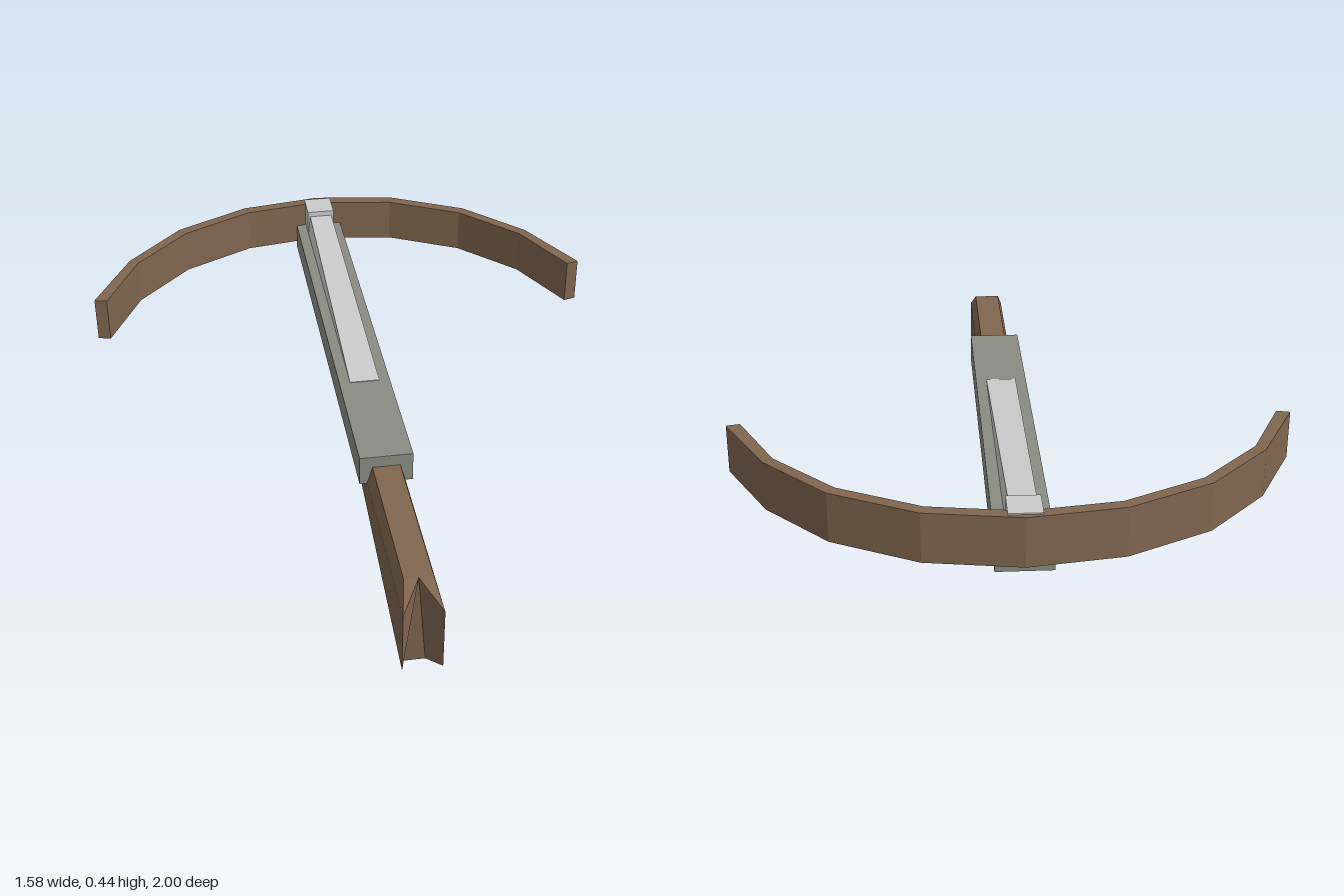
import * as THREE from 'three';

const material = (color) => new THREE.MeshStandardMaterial({ color, flatShading: true });

// Joins rings of [x, y, z] points (counter-clockwise seen from +z, ordered
// from -z to +z) and closes both ends with a fan from point k.
function loft(rings, k = 0) {
  const n = rings[0].length;
  const pos = [];
  const tri = (...p) => p.forEach((v) => pos.push(...v));
  for (let r = 0; r < rings.length - 1; r++) {
    const a = rings[r], b = rings[r + 1];
    for (let i = 0; i < n; i++) {
      const j = (i + 1) % n;
      tri(a[i], a[j], b[j]);
      tri(a[i], b[j], b[i]);
    }
  }
  const first = rings[0], last = rings[rings.length - 1];
  for (let i = 1; i < n - 1; i++) {
    const p = (k + i) % n, q = (k + i + 1) % n;
    tri(last[k], last[p], last[q]);
    tri(first[k], first[q], first[p]);
  }
  const geo = new THREE.BufferGeometry();
  geo.setAttribute('position', new THREE.Float32BufferAttribute(pos, 3));
  geo.computeVertexNormals();
  return geo;
}

// Mirrors the right half of a ring, with its centre points first and last.
function mirrorRing(half) {
  const left = half.slice(1, -1).reverse().map(([x, y, z]) => [-x, y, z]);
  return [...half, ...left];
}

export function createModel() {
  const group = new THREE.Group();
  const wood = material(0x80664f);
  const steel = material(0x8a8b83);
  const pale = material(0xcccccc);
  const add = (name, geo, mat, x = 0, y = 0, z = 0) => {
    const mesh = new THREE.Mesh(geo, mat);
    mesh.name = name;
    mesh.position.set(x, y, z);
    group.add(mesh);
    return mesh;
  };

  // Stock: bevelled section that deepens toward a V-notched butt
  const grip = mirrorRing([
    [0, 0.19, -0.035], [0.03, 0.19, -0.03], [0.055, 0.245, 0.01],
    [0.055, 0.27, 0.01], [0.04, 0.32, -0.03], [0, 0.32, -0.03],
  ]);
  const butt = mirrorRing([
    [0, 0, 0.89], [0.03, 0, 0.89], [0.055, 0.075, 1],
    [0.055, 0.265, 1], [0.04, 0.32, 0.92], [0, 0.32, 0.92],
  ]);
  add('stock', loft([grip, butt], 5), wood);

  // Long bar that carries the bow
  add('bar', new THREE.BoxGeometry(0.154, 0.09, 1.405), steel, 0, 0.31, -0.2625);

  // Sloping bolt rail and the block at its end
  const rect = (bottom, top, y0, y1, z) => [
    [-bottom, y0, z], [bottom, y0, z], [top, y1, z], [-top, y1, z],
  ];
  add('boltRail', loft([
    rect(0.045, 0.037, 0.35, 0.422, -0.89),
    rect(0.045, 0.045, 0.35, 0.357, 0.06),
  ]), pale);
  add('bowBlock', new THREE.BoxGeometry(0.09, 0.09, 0.097), pale, 0, 0.394, -0.935);

  // Bow: faceted arc, outlined from above and extruded upward
  const outer = [[0, 1], [0.26, 0.96], [0.495, 0.838], [0.67, 0.65], [0.79, 0.412]];
  const inner = [[0.752, 0.402], [0.645, 0.628], [0.475, 0.808], [0.25, 0.925], [0, 0.963]];
  const flip = (pts) => pts.map(([x, y]) => [-x, y]).reverse();
  const outline = [...outer, ...inner, ...flip(inner).slice(1), ...flip(outer).slice(0, -1)];
  const bowShape = new THREE.Shape(outline.map(([x, y]) => new THREE.Vector2(x, y)));
  const bowGeo = new THREE.ExtrudeGeometry(bowShape, { depth: 0.14, bevelEnabled: false });
  bowGeo.rotateX(-Math.PI / 2);
  add('bow', bowGeo, wood, 0, 0.295, 0);

  // Trigger ring, partly sunk into the bar
  const guardMat = new THREE.MeshStandardMaterial({ color: 0x8a8b83 });
  const guard = new THREE.TorusGeometry(0.09, 0.02, 10, 28).rotateY(Math.PI / 2);
  add('triggerGuard', guard, guardMat, 0, 0.215, -0.083);

  // Trigger blade with a slanted tip
  const blade = new THREE.Shape([
    new THREE.Vector2(0.075, 0.29), new THREE.Vector2(0.075, 0.175),
    new THREE.Vector2(0.095, 0.195), new THREE.Vector2(0.095, 0.29),
  ]);
  const bladeGeo = new THREE.ExtrudeGeometry(blade, { depth: 0.04, bevelEnabled: false });
  bladeGeo.translate(0, 0, -0.02).rotateY(Math.PI / 2);
  add('trigger', bladeGeo, pale);

  return group;
}
